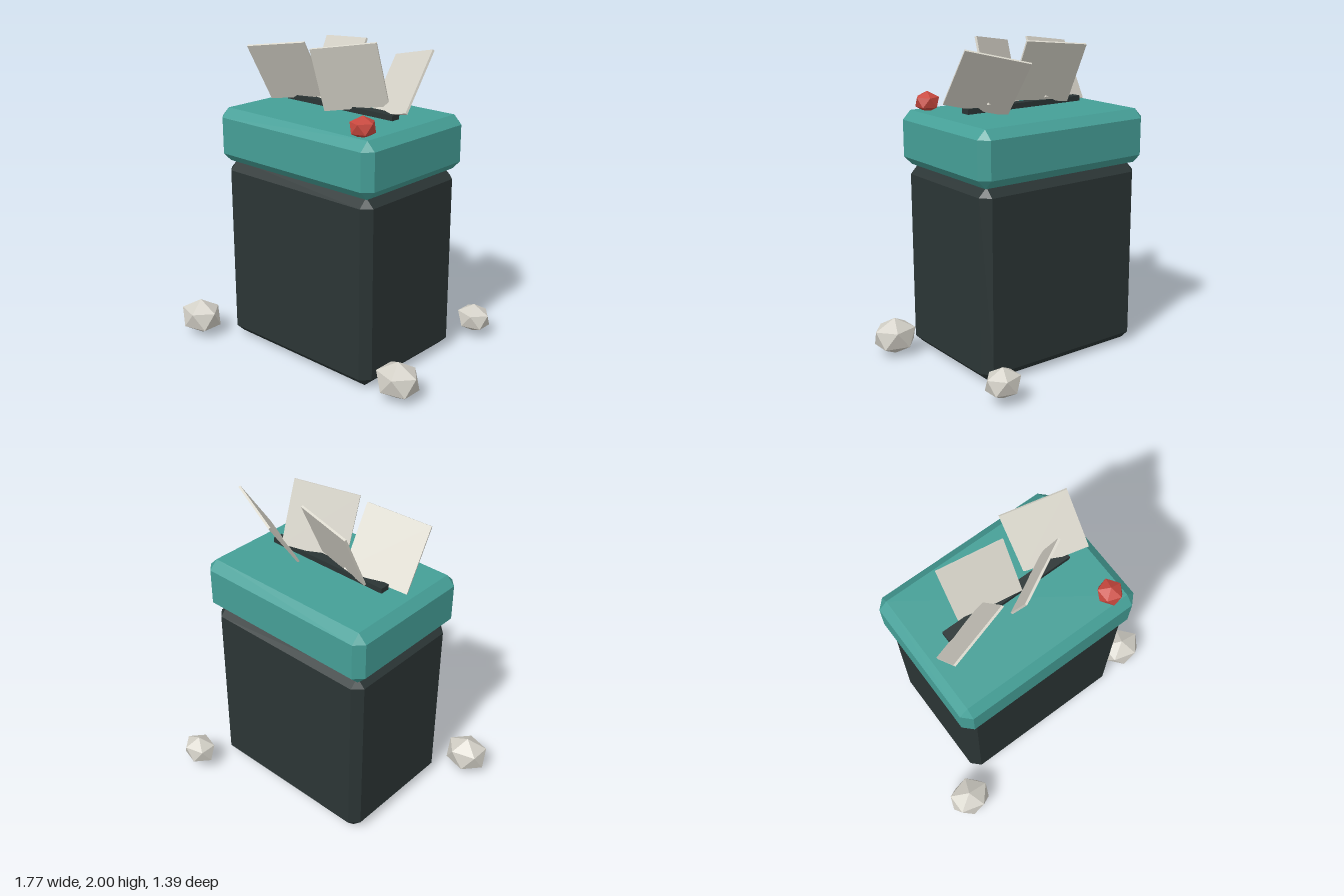
import * as THREE from 'three';
import { ConvexGeometry } from 'three/addons/geometries/ConvexGeometry.js';

function material(name, color) {
  const m = new THREE.MeshStandardMaterial({ color });
  m.name = name;
  return m;
}

// Box with flat single-cut bevels on every edge
function chamferBox(w, h, d, c) {
  const points = [];
  for (const x of [-1, 1]) for (const y of [-1, 1]) for (const z of [-1, 1]) {
    const [X, Y, Z] = [x * w / 2, y * h / 2, z * d / 2];
    points.push(
      new THREE.Vector3(X, Y - y * c, Z - z * c),
      new THREE.Vector3(X - x * c, Y, Z - z * c),
      new THREE.Vector3(X - x * c, Y - y * c, Z));
  }
  return new ConvexGeometry(points);
}

// Unit icosahedron standing on a vertex
function uprightIcosahedron() {
  const points = [new THREE.Vector3(0, 1, 0), new THREE.Vector3(0, -1, 0)];
  const r = 2 / Math.sqrt(5), h = 1 / Math.sqrt(5);
  for (let i = 0; i < 5; i++) {
    const a = i * Math.PI * 2 / 5;
    points.push(new THREE.Vector3(r * Math.cos(a), h, r * Math.sin(a)));
    points.push(new THREE.Vector3(-r * Math.cos(a), -h, r * Math.sin(a)));
  }
  return new ConvexGeometry(points);
}

export function createModel() {
  const model = new THREE.Group();
  model.name = 'ballotBox';

  const dark = material('charcoal', 0x2b3535);
  const teal = material('teal', 0x459f97);
  const paper = material('paper', 0xdad7cc);
  const stone = material('stone', 0xd2cfc6);
  const red = material('red', 0xc8483e);

  const add = (name, geometry, mat, position) => {
    const mesh = new THREE.Mesh(geometry, mat);
    mesh.name = name;
    mesh.position.set(...position);
    model.add(mesh);
    return mesh;
  };

  // Container, lid and raised slot strip
  add('body', chamferBox(1.185, 1.187, 0.845, 0.055), dark, [-0.016, 0.606, 0.02]);
  add('lid', chamferBox(1.245, 0.34, 0.905, 0.055), teal, [-0.017, 1.37, 0.017]);
  add('slot', new THREE.BoxGeometry(0.86, 0.033, 0.064), dark, [-0.012, 1.572, 0.012]);

  // Cards leaning out of the slot: position, lean, turn
  const card = new THREE.BoxGeometry(0.405, 0.41, 0.014);
  [
    [[-0.355, 1.757, 0.127], 0.5, 0.285],
    [[0.125, 1.776, 0.085], 0.305, 0.482],
    [[-0.13, 1.772, -0.08], -0.45, -0.21],
    [[0.35, 1.743, -0.118], -0.62, -0.393],
  ].forEach(([position, lean, turn], i) => {
    add(`card${i + 1}`, card, paper, position).rotation.set(lean, turn, 0);
  });

  // Small red nugget on the lid, stones around the base
  const nugget = uprightIcosahedron();
  add('redNugget', nugget, red, [0.465, 1.59, 0.355]).scale.set(0.081, 0.067, 0.085);
  [
    [[-0.752, 0.121, 0.58], 0.119],
    [[0.748, 0.121, 0.355], 0.119],
    [[0.606, 0.125, -0.61], 0.096],
  ].forEach(([position, s], i) => {
    add(`stone${i + 1}`, nugget, stone, position).scale.set(s * 1.27, s, s * 1.08);
  });

  return model;
}
